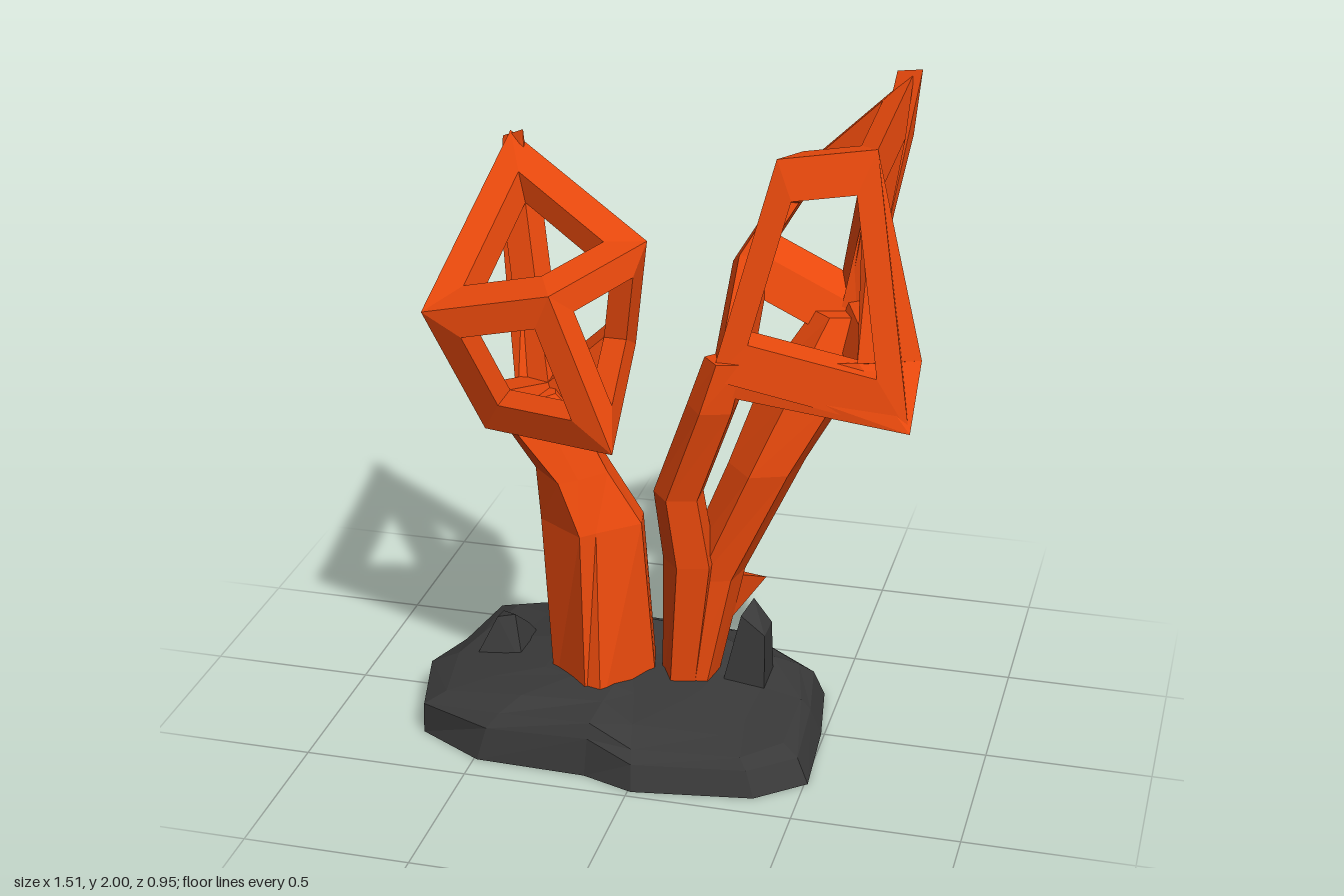
import * as THREE from 'three';
import { ConvexGeometry } from 'three/addons/geometries/ConvexGeometry.js';

const coral = new THREE.MeshStandardMaterial({ color: 0xe6480c, flatShading: true });
coral.name = 'coral orange';
const stone = new THREE.MeshStandardMaterial({ color: 0x393939, flatShading: true });
stone.name = 'dark stone';

const V = (p) => new THREE.Vector3(...p);

function fromTriangles(points) {
  const g = new THREE.BufferGeometry().setFromPoints(points);
  g.computeVertexNormals();
  return g;
}

function pushQuad(out, a, b, c, d) {
  out.push(a, b, c, a, c, d);
}

// Skin stacked rings (bottom to top) and close both ends
function loft(rings) {
  const out = [];
  const n = rings[0].length;
  const mid = (r) => r.reduce((s, p) => s.add(p), new THREE.Vector3()).divideScalar(n);
  const last = rings[rings.length - 1];
  const low = mid(rings[0]);
  const high = mid(last);
  for (let i = 0; i < n; i++) {
    const j = (i + 1) % n;
    for (let k = 0; k + 1 < rings.length; k++) {
      pushQuad(out, rings[k][i], rings[k][j], rings[k + 1][j], rings[k + 1][i]);
    }
    out.push(low, rings[0][j], rings[0][i], high, last[i], last[j]);
  }
  return fromTriangles(out);
}

// Horizontal polygon rings given as [x, y, z, radius x, radius z]
function limb(stations, sides, turn) {
  return loft(stations.map(([x, y, z, rx, rz]) =>
    Array.from({ length: sides }, (_, i) => {
      const t = turn + (i / sides) * Math.PI * 2;
      return new THREE.Vector3(x + rx * Math.cos(t), y, z - rz * Math.sin(t));
    })));
}

// Open six-sided cage: every face becomes a bevelled frame around a hole.
// Insets run top, bottom, back, left of view, front, right of view.
function cage(corners, insets, depth) {
  const v = corners.map(V);
  const centre = v.reduce((s, p) => s.add(p), new THREE.Vector3()).divideScalar(8);
  const inner = v.map((p) => p.clone().lerp(centre, depth));
  const faces = [[0, 1, 2, 3], [7, 6, 5, 4]];
  for (const i of [3, 0, 1, 2]) {
    const j = (i + 1) % 4;
    faces.push([i, i + 4, j + 4, j]);
  }
  const out = [];
  faces.forEach((f, n) => {
    const c = f.reduce((s, i) => s.add(v[i]), new THREE.Vector3()).divideScalar(4);
    const rim = f.map((i) => v[i].clone().lerp(c, insets[n]));
    for (let i = 0; i < 4; i++) {
      const j = (i + 1) % 4;
      pushQuad(out, v[f[i]], v[f[j]], rim[j], rim[i]);
      pushQuad(out, rim[i], rim[j], inner[f[j]], inner[f[i]]);
    }
  });
  return fromTriangles(out);
}

const hull = (points) => new ConvexGeometry(points.map(V));

export function createModel() {
  const model = new THREE.Group();
  const add = (name, geometry, material) => {
    const m = new THREE.Mesh(geometry, material);
    m.name = name;
    model.add(m);
  };

  // Rock: outline [x, z, rim height, shelf height, crown height]
  const outline = [
    [-0.76, 0.04, 0.14, 0.16, 0.185], [-0.7, 0.29, 0.13, 0.17, 0.185],
    [-0.49, 0.41, 0.13, 0.175, 0.19], [-0.15, 0.42, 0.15, 0.175, 0.185],
    [0.01, 0.475, 0.1, 0.14, 0.165], [0.37, 0.42, 0.1, 0.13, 0.165],
    [0.51, 0.3, 0.1, 0.125, 0.165], [0.49, 0.0, 0.11, 0.14, 0.165],
    [0.45, -0.25, 0.11, 0.15, 0.19], [0.2, -0.39, 0.13, 0.18, 0.23],
    [-0.12, -0.39, 0.14, 0.19, 0.25], [-0.49, -0.455, 0.13, 0.19, 0.245],
    [-0.66, -0.38, 0.14, 0.17, 0.22], [-0.7, -0.13, 0.14, 0.16, 0.2],
  ];
  const cx = -0.1;
  const step = (scale, height) => outline.map((p, i) => {
    const s = scale(p[0], i);
    return new THREE.Vector3(cx + (p[0] - cx) * s, height(p), p[1] * s);
  });
  add('rock', loft([
    step(() => 1, () => 0),
    step((x) => (x < -0.6 ? 0.995 : 0.94), (p) => p[2] * 0.75),
    step((x, i) => 0.86 + 0.03 * (i % 2), (p) => p[2] + 0.005),
    step((x, i) => 0.64 + 0.04 * (i % 3), (p) => p[3]),
    step((x, i) => 0.38 + 0.05 * (i % 2), (p) => p[4]),
  ]), stone);
  add('rockSpire', hull([
    [0.17, 0.1, 0.02], [0.31, 0.1, 0.01], [0.31, 0.1, -0.13], [0.18, 0.1, -0.13],
    [0.23, 0.37, -0.01], [0.25, 0.39, -0.1], [0.305, 0.31, -0.01], [0.305, 0.31, -0.11],
  ]), stone);
  add('rockLump', hull([
    [-0.62, 0.12, 0.04], [-0.45, 0.12, 0.05], [-0.44, 0.12, -0.16], [-0.62, 0.12, -0.16],
    [-0.555, 0.26, -0.02], [-0.5, 0.27, -0.03], [-0.48, 0.21, -0.1], [-0.56, 0.24, -0.1],
  ]), stone);

  // Shorter branch: creased trunk carrying a cage
  const trunk = [
    [0.1, [-0.33, 0.11], [-0.2, 0.22], [-0.15, 0.23], [-0.02, 0.05], [-0.04, -0.04], [-0.2, -0.07]],
    [0.66, [-0.38, 0.06], [-0.23, 0.16], [-0.19, 0.12], [-0.075, 0.02], [-0.09, -0.06], [-0.28, -0.12]],
    [0.82, [-0.4, 0.04], [-0.3, 0.14], [-0.25, 0.1], [-0.18, 0.02], [-0.2, -0.07], [-0.37, -0.12]],
    [0.99, [-0.47, 0.12], [-0.42, 0.17], [-0.34, 0.1], [-0.27, 0.02], [-0.3, -0.06], [-0.43, -0.09]],
    [1.06, [-0.47, 0.12], [-0.42, 0.14], [-0.38, 0.08], [-0.34, 0.02], [-0.36, -0.05], [-0.45, -0.08]],
  ];
  add('shortTrunk', loft(trunk.map(([y, ...ring]) =>
    ring.map(([x, z]) => new THREE.Vector3(x, y, z)))), coral);
  add('shortCage', cage([
    [-0.61, 1.72, -0.44], [-0.65, 1.4, 0.31], [-0.27, 1.48, 0.3], [-0.09, 1.52, -0.11],
    [-0.4, 0.94, -0.08], [-0.5, 1.01, 0.21], [-0.05, 1.07, 0.43], [-0.12, 1.2, -0.09],
  ], [0.38, 0.46, 0.42, 0.42, 0.42, 0.4], 0.38), coral);
  add('shortCageSpine', hull([
    [-0.56, 1.735, -0.41], [-0.635, 1.7, -0.44], [-0.51, 1.5, -0.25], [-0.6, 1.5, -0.29],
    [-0.36, 0.95, -0.05], [-0.45, 0.95, -0.1], [-0.46, 1.0, 0.02],
  ]), coral);

  // Taller branch: two stems that part and meet again at a cage
  add('frontStem', limb([
    [0.05, 0.1, 0.02, 0.06, 0.08], [0.08, 0.56, 0.03, 0.085, 0.07],
    [0.045, 0.78, 0.03, 0.08, 0.07], [0.15, 1.08, 0.04, 0.08, 0.08],
    [0.19, 1.23, 0.03, 0.07, 0.06],
  ], 5, Math.PI), coral);
  add('backStem', limb([
    [0.07, 0.1, 0, 0.08, 0.09], [0.13, 0.5, -0.05, 0.1, 0.1],
    [0.28, 0.85, -0.12, 0.115, 0.145], [0.385, 1.08, -0.22, 0.145, 0.17],
    [0.46, 1.29, -0.29, 0.08, 0.08],
  ], 6, 0.3), coral);
  add('sideSpike', hull([
    [0.26, 0.4, -0.23], [0.12, 0.5, -0.01], [0.21, 0.48, -0.07], [0.1, 0.48, -0.12],
    [0.1, 0.31, -0.08], [0.18, 0.33, -0.02],
  ]), coral);
  add('tallCage', cage([
    [0.63, 1.99, -0.45], [0.25, 1.62, -0.475], [0.3, 1.81, -0.09], [0.58, 1.84, -0.16],
    [0.52, 1.2, -0.35], [0.12, 1.4, -0.33], [0.15, 1.18, 0.08], [0.75, 1.11, 0.16],
  ], [0.42, 0.45, 0.38, 0.42, 0.52, 0.35].map((k, i) => [k, k, k, k + 0.1, k - 0.18, k][i]), 0.36), coral);
  // Broad wedge ends and spine of the taller cage
  add('lowerWedge', hull([
    [0.18, 1.21, 0.06], [0.2, 1.13, 0.08], [0.755, 1.11, 0.17], [0.755, 1.27, 0],
    [0.58, 1.27, 0.06], [0.62, 1.12, 0.02], [0.28, 1.22, 0.03],
  ]), coral);
  add('outerWedge', hull([
    [0.58, 1.84, -0.16], [0.54, 1.76, -0.16], [0.58, 1.27, 0.07],
    [0.755, 1.27, 0], [0.72, 1.24, -0.04], [0.6, 1.25, 0.01],
  ]), coral);
  add('tallCageSpine', hull([
    [0.585, 2.0, -0.42], [0.655, 2.0, -0.45], [0.635, 1.8, -0.45], [0.56, 1.75, -0.38],
    [0.5, 1.3, -0.36], [0.54, 1.25, -0.29], [0.45, 1.22, -0.27],
  ]), coral);

  return model;
}
